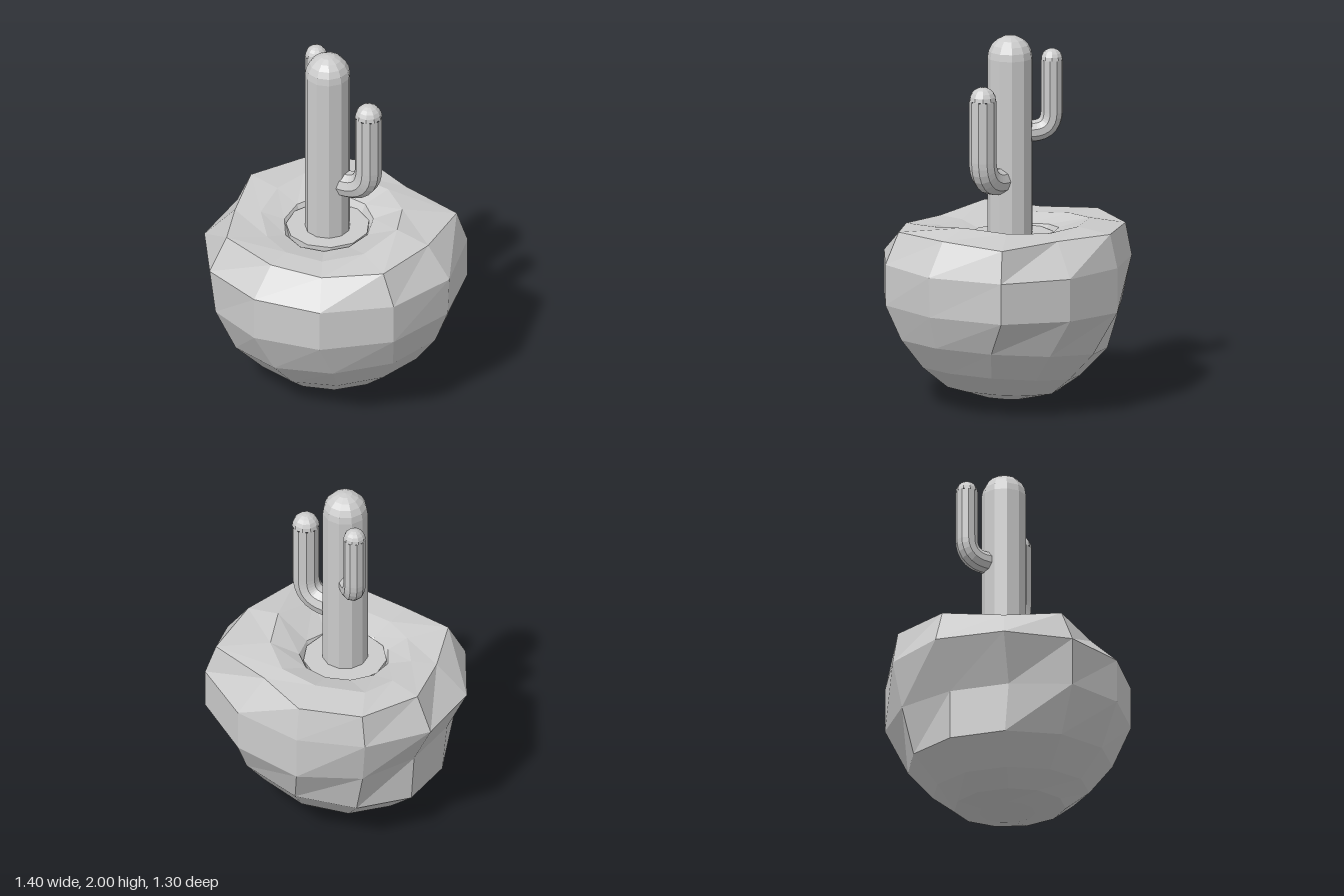
import * as THREE from 'three';

const SIDES = 11;
const mat = new THREE.MeshStandardMaterial({ color: 0xcccccc, flatShading: true });

function addMesh(parent, name, geometry, x = 0, y = 0, z = 0) {
  const mesh = new THREE.Mesh(geometry, mat);
  mesh.name = name;
  mesh.position.set(x, y, z);
  parent.add(mesh);
  return mesh;
}

// Tilted elliptical ring: height runs from yLeft (low x) to yRight (high x)
function ellipseRing(cx, cz, rx, rz, yLeft, yRight) {
  return Array.from({ length: SIDES }, (_, i) => {
    const a = (i / SIDES) * Math.PI * 2;
    const t = (Math.cos(a) + 1) / 2;
    return [cx + rx * Math.cos(a), yLeft + (yRight - yLeft) * t, cz + rz * Math.sin(a)];
  });
}

// Ring from plan points [x, z] and a height list
const planRing = (plan, heights) => plan.map(([x, z], i) => [x, heights[i], z]);

// Skin a stack of rings, bottom to top, with a closed bottom point
function loft(rings, bottom) {
  const pos = [...bottom, ...rings.flat(2)];
  const index = [];
  const at = (r, i) => 1 + r * SIDES + (i % SIDES);
  for (let i = 0; i < SIDES; i++) {
    index.push(0, at(0, i), at(0, i + 1));
    for (let r = 0; r < rings.length - 1; r++) {
      const a = at(r, i), b = at(r, i + 1), c = at(r + 1, i), d = at(r + 1, i + 1);
      index.push(a, c, b, b, c, d);
    }
  }
  const g = new THREE.BufferGeometry();
  g.setAttribute('position', new THREE.Float32BufferAttribute(pos, 3));
  g.setIndex(index);
  g.computeVertexNormals();
  return g;
}

function makePot() {
  // Widest outline, and the same outline dented at its left and back
  const wide = [[0.7, -0.01], [0.57, 0.37], [0.25, 0.61], [-0.13, 0.65], [-0.48, 0.51], [-0.69, 0.19],
    [-0.7, -0.19], [-0.48, -0.5], [-0.14, -0.65], [0.25, -0.62], [0.59, -0.41]];
  const dented = wide.map((p) => [...p]);
  dented[0] = [0.69, -0.01];
  dented[4] = [-0.45, 0.5];
  dented[5] = [-0.57, 0.18];
  dented[6] = [-0.57, -0.15];
  dented[7] = [-0.44, -0.46];
  // Rim and the crest just inside it
  const rim = [[0.57, -0.01], [0.49, 0.34], [0.2, 0.5], [-0.11, 0.5], [-0.42, 0.43], [-0.53, 0.14],
    [-0.61, -0.18], [-0.45, -0.48], [-0.13, -0.61], [0.17, -0.48], [0.54, -0.38]];
  const crest = [[0.38, -0.01], [0.31, 0.23], [0.12, 0.35], [-0.1, 0.35], [-0.26, 0.27], [-0.4, 0.09],
    [-0.42, -0.13], [-0.36, -0.31], [-0.11, -0.41], [0.12, -0.38], [0.29, -0.23]];
  const hollow = ellipseRing(-0.05, -0.025, 0.24, 0.25, 0.92, 0.92);
  hollow.forEach((p) => { p[1] -= 0.1 * p[2]; });
  return loft([
    ellipseRing(-0.02, 0, 0.16, 0.15, 0.015, 0.04),
    ellipseRing(0.02, 0, 0.32, 0.3, 0.04, 0.11),
    ellipseRing(0.04, 0, 0.46, 0.42, 0.11, 0.24),
    ellipseRing(0.02, 0, 0.6, 0.55, 0.25, 0.4),
    planRing(dented, dented.map(([x]) => 0.55 + 0.05 * x)),
    planRing(wide, wide.map(([x]) => 0.79 + 0.02 * x)),
    planRing(rim, [0.98, 0.97, 0.945, 0.93, 0.97, 0.95, 0.97, 0.96, 0.97, 0.97, 0.97]),
    planRing(crest, [1.02, 0.98, 0.94, 0.93, 0.935, 0.95, 0.97, 0.98, 0.99, 0.99, 1.0]),
    hollow,
    ellipseRing(-0.05, -0.02, 0.2, 0.2, 0.85, 0.85),
  ], [-0.04, 0, 0]);
}

// Upturned arm: leaves the trunk level, bends and ends in a dome
function addArm(parent, name, from, to, yLow, yTop, radius, bend) {
  const group = new THREE.Group();
  group.name = name;
  const start = new THREE.Vector3(from[0], yLow, from[1]);
  const elbow = new THREE.Vector3(to[0], yLow, to[1]);
  const bendStart = elbow.clone().addScaledVector(start.clone().sub(elbow).normalize(), bend);
  const bendEnd = elbow.clone().setY(yLow + bend);
  const top = elbow.clone().setY(yTop - radius);
  const curve = new THREE.QuadraticBezierCurve3(bendStart, elbow, bendEnd);
  const path = new THREE.CurvePath();
  path.add(new THREE.LineCurve3(start, bendStart));
  path.add(curve);
  path.add(new THREE.LineCurve3(bendEnd, top));
  addMesh(group, name + 'Stem', new THREE.TubeGeometry(path, 24, radius, 10));
  addMesh(group, name + 'Tip',
    new THREE.SphereGeometry(radius, 10, 5, 0, Math.PI * 2, 0, Math.PI / 2), top.x, top.y, top.z);
  parent.add(group);
}

export function createModel() {
  const model = new THREE.Group();
  model.name = 'pottedCactus';

  // Rough faceted pot with a soil disc in its hollow
  addMesh(model, 'pot', makePot());
  addMesh(model, 'soil', new THREE.CylinderGeometry(0.225, 0.225, 0.04, SIDES), -0.05, 0.892, -0.02);

  // Cactus trunk with a domed top
  const cactus = new THREE.Group();
  cactus.name = 'cactus';
  const [cx, cz, r] = [-0.045, -0.01, 0.122];
  addMesh(cactus, 'trunk', new THREE.CylinderGeometry(r, r, 0.98, SIDES, 1, true), cx, 1.388, cz);
  addMesh(cactus, 'trunkTop',
    new THREE.SphereGeometry(r, SIDES, 5, 0, Math.PI * 2, 0, Math.PI / 2).rotateY(Math.PI / 2),
    cx, 1.878, cz);

  // Arms
  addArm(cactus, 'leftArm', [cx, cz], [0.205, -0.01], 1.22, 1.76, 0.074, 0.14);
  addArm(cactus, 'backArm', [cx, cz], [-0.205, -0.17], 1.47, 1.92, 0.06, 0.11);
  model.add(cactus);
  return model;
}
